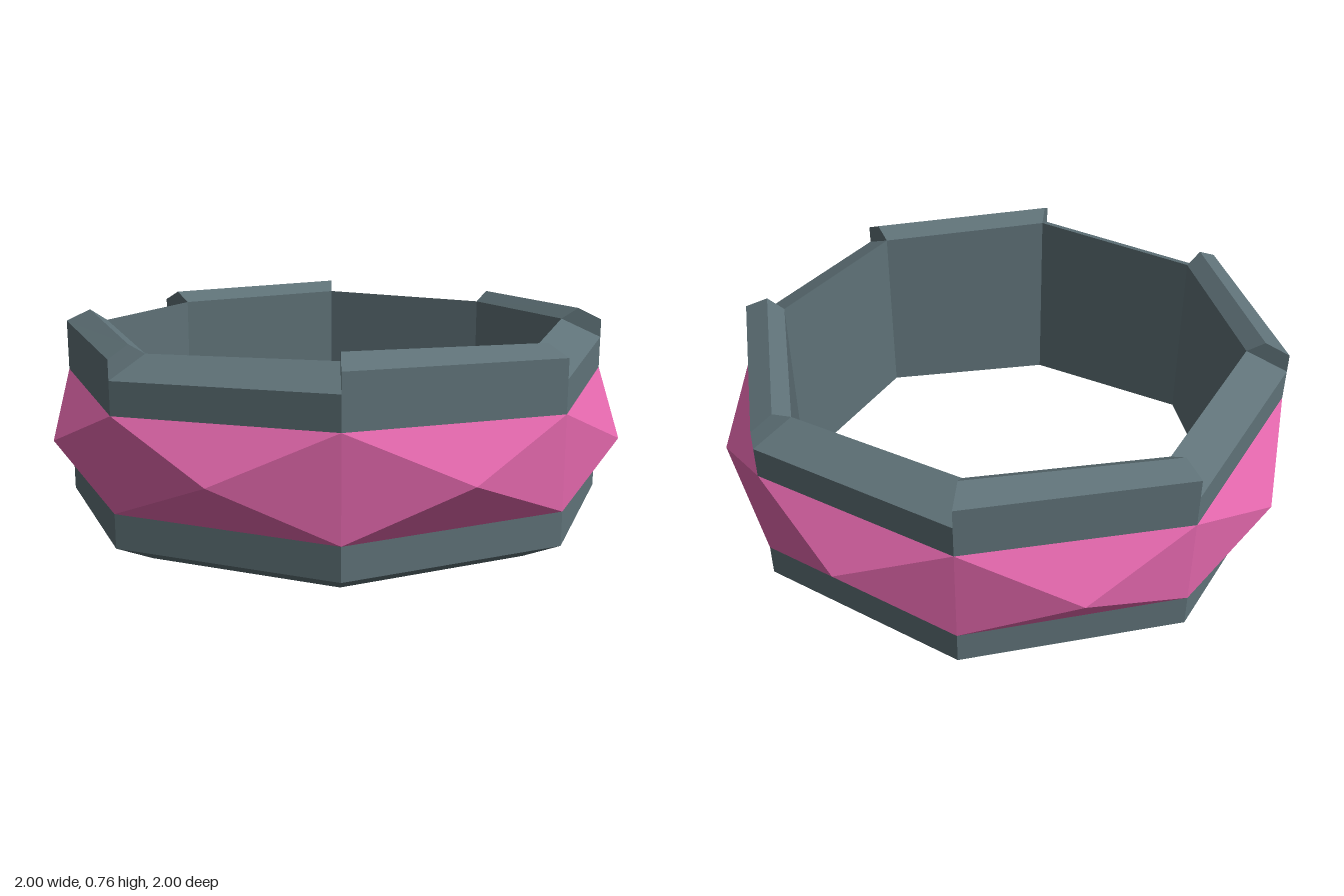
import * as THREE from 'three';

const STEP = Math.PI / 4;

// Cross-section points [radius, height]; even corners sit on the axes, odd ones on the diagonals
const SECTION = {
  innerBase:   [[0.85, 0.0],   [0.875, 0.015]],
  outerBase:   [[1.0, 0.075],  [1.02, 0.087]],
  bandBottom:  [[1.0, 0.19],   [1.02, 0.204]],
  bandTop:     [[1.0, 0.54],   [1.02, 0.527]],
  lowShoulder: [[1.0, 0.655],  [1.02, 0.64]],
  tallShoulder:[[1.0, 0.722],  [1.02, 0.708]],
  ridge:       [[0.912, 0.765],[0.94, 0.747]],
  innerTop:    [[0.85, 0.725], [0.875, 0.708]],
};

const polar = (r, y, a) => [r * Math.sin(a), y, r * Math.cos(a)];
const corner = (name, k) => polar(...SECTION[name][k % 2], k * STEP);

function addPolygon(out, ...p) {
  for (let i = 1; i < p.length - 1; i++) out.push(...p[0], ...p[i], ...p[i + 1]);
}

// Joins consecutive section points between corner k and k + 1
function addStrip(out, k, names) {
  for (let i = 0; i < names.length - 1; i++) {
    const [lo, hi] = [names[i], names[i + 1]];
    addPolygon(out, corner(lo, k), corner(lo, k + 1), corner(hi, k + 1), corner(hi, k));
  }
}

function makeMesh(name, positions, material) {
  const geometry = new THREE.BufferGeometry();
  geometry.setAttribute('position', new THREE.Float32BufferAttribute(positions, 3));
  geometry.computeVertexNormals();
  const mesh = new THREE.Mesh(geometry, material);
  mesh.name = name;
  return mesh;
}

export function createModel() {
  const metal = new THREE.MeshStandardMaterial({ color: 0x5f7278, flatShading: true });
  metal.name = 'slate metal';
  const pink = new THREE.MeshStandardMaterial({ color: 0xe066aa, flatShading: true });
  pink.name = 'pink gem';

  const base = [], rim = [], lining = [], band = [];
  for (let k = 0; k < 8; k++) {
    // Bevelled lower hoop and inside wall
    addStrip(base, k, ['innerBase', 'outerBase', 'bandBottom']);
    addStrip(lining, k, ['innerTop', 'innerBase']);

    // Upper rim alternates raised, ridged sides with low bevelled ones
    if (k % 2 === 0) {
      addStrip(rim, k, ['bandTop', 'tallShoulder', 'ridge', 'innerTop']);
      const cap = ['lowShoulder', 'innerTop', 'ridge', 'tallShoulder'];
      addPolygon(rim, ...cap.map((n) => corner(n, k + 1)));
      addPolygon(rim, ...cap.reverse().map((n) => corner(n, k)));
    } else {
      addStrip(rim, k, ['bandTop', 'lowShoulder', 'innerTop']);
    }

    // Faceted band: each side rises to a central point
    const peak = polar(1.058, 0.366, (k + 0.5) * STEP);
    const loop = [corner('bandBottom', k), corner('bandBottom', k + 1),
      corner('bandTop', k + 1), corner('bandTop', k)];
    loop.forEach((p, i) => addPolygon(band, p, loop[(i + 1) % 4], peak));
  }

  const model = new THREE.Group();
  model.name = 'octagonalRing';
  model.add(
    makeMesh('lowerHoop', base, metal),
    makeMesh('upperRim', rim, metal),
    makeMesh('innerWall', lining, metal),
    makeMesh('facetedBand', band, pink),
  );
  return model;
}
